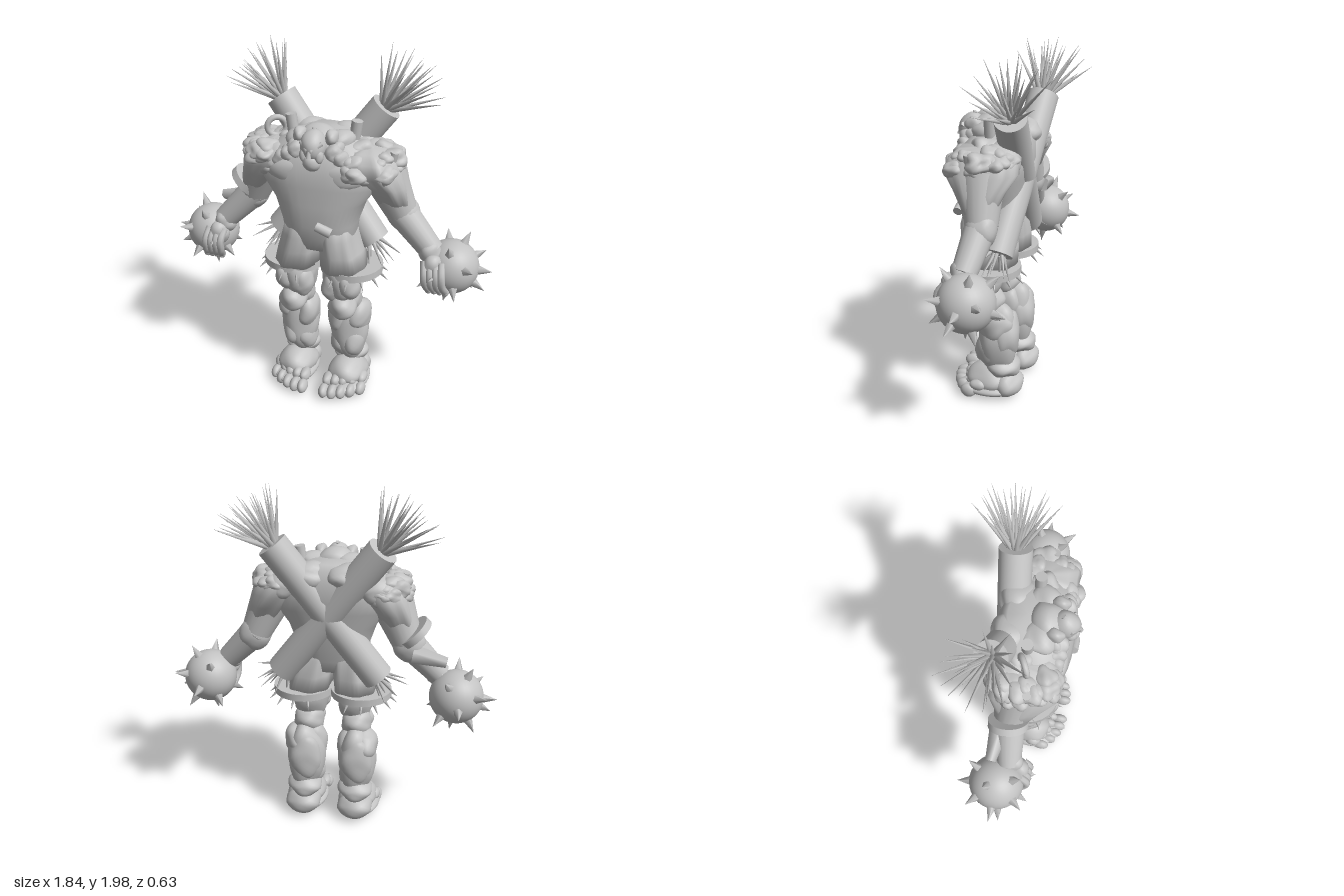
import * as THREE from 'three';
import { mergeVertices } from 'three/addons/utils/BufferGeometryUtils.js';

const stone = new THREE.MeshStandardMaterial({ color: 0xc2c2c2 });
stone.name = 'stoneGrey';
const V = (x, y, z) => new THREE.Vector3(x, y, z);
const UP = V(0, 1, 0);

function seeded(seed) {
  let s = seed;
  return () => (s = (s * 16807) % 2147483647) / 2147483647;
}

function add(parent, name, geo, pos) {
  const m = new THREE.Mesh(geo, stone);
  m.name = name;
  if (pos) m.position.copy(pos);
  parent.add(m);
  return m;
}

// lumpy boulder with smooth normals, coarser when small
function rock(parent, name, pos, r, seed = 1, amp = 0.08) {
  let g = new THREE.IcosahedronGeometry(1, Math.max(r.x, r.y, r.z) < 0.06 ? 3 : 5);
  g.deleteAttribute('uv');
  g.deleteAttribute('normal');
  g = mergeVertices(g, 1e-4);
  const p = g.attributes.position, v = V(0, 0, 0);
  for (let i = 0; i < p.count; i++) {
    v.fromBufferAttribute(p, i);
    const n = Math.sin(3.1 * v.x + seed * 1.7) * Math.cos(3.7 * v.y + seed * 2.3)
      + 0.8 * Math.sin(4.3 * v.z + 2 * v.x + seed) - 0.7 * Math.abs(Math.sin(3.5 * v.y + 2.5 * v.z + seed * 3));
    v.multiplyScalar(1 + amp * n);
    p.setXYZ(i, v.x * r.x, v.y * r.y, v.z * r.z);
  }
  g.computeVertexNormals();
  return add(parent, name, g, pos);
}

// cylinder or cone between two points
function rod(parent, name, a, b, ra, rb, sides = 20) {
  const d = b.clone().sub(a);
  const m = add(parent, name, new THREE.CylinderGeometry(rb, ra, d.length(), sides), a.clone().add(b).multiplyScalar(0.5));
  m.quaternion.setFromUnitVectors(UP, d.normalize());
  return m;
}

function spike(parent, name, a, dir, len, r) {
  return rod(parent, name, a, a.clone().addScaledVector(dir, len), r, 0.0005, 5);
}

// stacked rounded sections: [y, centre x, centre z, half width, half depth]
function loft(parent, name, sections, n = 40, fold = 0) {
  const pos = [], idx = [];
  const pw = (t) => Math.sign(t) * Math.pow(Math.abs(t), 0.8);
  sections.forEach(([y, cx, cz, rx, rz]) => {
    for (let j = 0; j < n; j++) {
      const t = (j / n) * Math.PI * 2, f = 1 + fold * Math.sin(t * 7 + y * 9);
      pos.push(cx + rx * f * pw(Math.cos(t)), y, cz + rz * f * pw(Math.sin(t)));
    }
  });
  for (let i = 0; i + 1 < sections.length; i++) {
    for (let j = 0; j < n; j++) {
      const a = i * n + j, b = i * n + (j + 1) % n;
      idx.push(a, a + n, b, b, a + n, b + n);
    }
  }
  const g = new THREE.BufferGeometry();
  g.setAttribute('position', new THREE.Float32BufferAttribute(pos, 3));
  g.setIndex(idx);
  g.computeVertexNormals();
  return add(parent, name, g);
}

function group(parent, name) {
  const g = new THREE.Group();
  g.name = name;
  parent.add(g);
  return g;
}

function buildLeg(root, s) {
  const leg = group(root, s > 0 ? 'leftLeg' : 'rightLeg');
  const R = (name, x, y, z, rx, ry, rz, seed, amp = 0.06) => rock(leg, name, V(s * x, y, z), V(rx, ry, rz), seed, amp);
  R('thigh', 0.13, 0.74, 0.12, 0.108, 0.17, 0.125, 2);
  R('thighPlate', 0.18, 0.73, 0.16, 0.068, 0.1, 0.09, 5);
  R('innerThighPlate', 0.085, 0.7, 0.17, 0.06, 0.09, 0.07, 6);
  R('knee', 0.145, 0.57, 0.165, 0.078, 0.08, 0.085, 3);
  R('kneeBack', 0.14, 0.58, 0.08, 0.09, 0.09, 0.09, 8);
  R('shin', 0.15, 0.36, 0.03, 0.112, 0.22, 0.118, 4);
  R('upperShinPlate', 0.2, 0.46, 0.04, 0.075, 0.1, 0.105, 7);
  R('innerShinPlate', 0.1, 0.44, 0.06, 0.07, 0.12, 0.09, 9);
  R('lowerShinPlate', 0.18, 0.3, 0.05, 0.075, 0.12, 0.1, 10);
  R('innerLowerPlate', 0.11, 0.27, 0.05, 0.07, 0.1, 0.085, 16);
  R('calf', 0.15, 0.38, -0.02, 0.1, 0.15, 0.075, 11);
  R('ankle', 0.15, 0.18, 0.0, 0.1, 0.07, 0.1, 12);
  R('heel', 0.155, 0.075, -0.025, 0.105, 0.08, 0.092, 13, 0.05);
  R('instep', 0.155, 0.095, 0.08, 0.11, 0.09, 0.14, 14, 0.05);
  R('sole', 0.158, 0.045, 0.09, 0.125, 0.046, 0.18, 15, 0.02);
  for (let i = 0; i < 5; i++) {
    R('toe', 0.065 + i * 0.048, 0.04, 0.265 - 0.0056 * i * i, 0.03, 0.04, 0.05, i + 3, 0.03);
    R('toeKnuckle', 0.07 + i * 0.045, 0.08, 0.2 - 0.005 * i * i, 0.032, 0.035, 0.05, i + 5, 0.04);
  }
}

function buildArm(root, s) {
  const arm = group(root, s > 0 ? 'leftArm' : 'rightArm');
  const P = (x, y, z) => V(s * x, y, z);
  const R = (name, x, y, z, rx, ry, rz, seed, amp = 0.06) => rock(arm, name, P(x, y, z), V(rx, ry, rz), seed, amp);
  rod(arm, 'upperArm', P(0.32, 1.36, 0.05), P(0.42, 1.13, 0.02), 0.12, 0.085);
  R('elbow', 0.43, 1.12, 0.015, 0.09, 0.1, 0.085, 3, 0.04);
  rod(arm, 'forearm', P(0.41, 1.14, 0.02), P(0.6, 0.94, 0.05), 0.085, 0.065);
  R('wrist', 0.59, 0.94, 0.06, 0.065, 0.07, 0.065, 5);
  R('palm', 0.615, 0.88, 0.105, 0.06, 0.07, 0.06, 6);
  // fingers curl round the front of the ball
  for (let i = 0; i < 4; i++) {
    const x = 0.575 + i * 0.03;
    const c = new THREE.CatmullRomCurve3([P(x, 0.91, 0.12), P(x + 0.01, 0.85, 0.16), P(x + 0.015, 0.79, 0.15), P(x + 0.03, 0.74, 0.11)]);
    add(arm, 'finger', new THREE.TubeGeometry(c, 12, 0.021, 8));
    R('fingertip', x + 0.03, 0.74, 0.11, 0.022, 0.026, 0.022, i + 1, 0.02);
  }
  // spiked ball
  const ball = group(arm, 'spikedBall');
  ball.position.copy(P(0.7, 0.84, 0));
  add(ball, 'ball', new THREE.SphereGeometry(0.148, 32, 24));
  for (let i = 0; i < 15; i++) {
    const x = 1 - i / 8, t = i * 2.4 + 0.3, r = Math.sqrt(1 - x * x);
    const d = V(s * x, r * Math.cos(t), r * Math.sin(t));
    spike(ball, 'ballSpike', d.clone().multiplyScalar(0.138), d, 0.08, 0.028);
  }
  // draped mantle tapering down the arm
  loft(arm, 'mantle', [
    [1.18, s * 0.4, 0.03, 0.001, 0.001], [1.2, s * 0.385, 0.04, 0.085, 0.085], [1.3, s * 0.345, 0.05, 0.105, 0.135],
    [1.38, s * 0.3, 0.06, 0.125, 0.19], [1.45, s * 0.27, 0.06, 0.12, 0.175], [1.49, s * 0.25, 0.06, 0.08, 0.13], [1.5, s * 0.25, 0.06, 0.001, 0.001]], 42, 0.04);
  // shoulder boulders and pegs
  const rnd = seeded(s > 0 ? 77 : 191);
  for (let i = 0; i < 30; i++) {
    const t = rnd() * Math.PI * 2, e = 0.05 + rnd() * 1.1, k = 0.035 + rnd() * 0.03;
    R('shoulderRock', 0.265 + 0.13 * Math.cos(e) * Math.cos(t), 1.385 + 0.1 * Math.sin(e),
      0.07 + 0.155 * Math.cos(e) * Math.sin(t), k * 1.2, k * 0.9, k * 1.2, i + 2, 0.12);
  }
  rod(arm, 'shoulderPeg', P(0.16, 1.48, 0.06), P(0.18, 1.62, 0.06), 0.03, 0.03, 12);
  rod(arm, 'sidePeg', P(0.37, 1.4, 0.1), P(0.39, 1.49, 0.1), 0.022, 0.022, 10);
}

function buildTube(root, s) {
  const g = group(root, 'backTube');
  const top = V(s * 0.29, 1.66, -0.09), bottom = V(-s * 0.27, 0.92, -0.01);
  const axis = top.clone().sub(bottom).normalize();
  rod(g, 'tube', bottom, top, 0.085, 0.085, 28);
  // spines fan out of both ends
  const side = V(0, 0, 1), across = axis.clone().cross(side).normalize();
  for (let i = 0; i < 26; i++) {
    const a = i * 2.4, q = Math.sqrt((i + 0.5) / 26), w = q * 0.72;
    const out = side.clone().multiplyScalar(Math.cos(a)).addScaledVector(across, Math.sin(a));
    const d = axis.clone().multiplyScalar(Math.cos(w)).addScaledVector(out, Math.sin(w));
    spike(g, 'spine', top.clone().addScaledVector(out, q * 0.03), d, 0.31 - 0.02 * (i % 3), 0.015);
    if (i % 3 === 0) {
      const e = axis.clone().multiplyScalar(-Math.cos(w)).addScaledVector(out, Math.sin(w));
      spike(g, 'lowerSpine', bottom.clone().addScaledVector(out, q * 0.05), e, 0.15, 0.012);
    }
  }
}

export function createModel() {
  const root = new THREE.Group();
  root.name = 'stoneGiant';

  loft(root, 'torso', [
    [0.93, 0, 0.1, 0.001, 0.001], [0.93, 0, 0.1, 0.16, 0.13], [1.0, 0, 0.1, 0.195, 0.15], [1.08, 0, 0.1, 0.205, 0.17],
    [1.2, 0, 0.09, 0.245, 0.185], [1.3, 0, 0.08, 0.32, 0.19], [1.38, 0, 0.07, 0.34, 0.2],
    [1.47, 0, 0.06, 0.28, 0.18], [1.53, 0, 0.04, 0.18, 0.14], [1.56, 0, 0.03, 0.1, 0.1], [1.56, 0, 0.03, 0.001, 0.001]]);

  for (const s of [-1, 1]) {
    buildLeg(root, s);
    buildArm(root, s);
    buildTube(root, s);
    // pleated cloth flaring over each thigh
    loft(root, 'shorts', [
      [0.8, s * 0.13, 0.09, 0.001, 0.001], [0.8, s * 0.132, 0.09, 0.122, 0.155], [0.9, s * 0.118, 0.09, 0.112, 0.158],
      [1.0, s * 0.1, 0.1, 0.1, 0.155], [1.1, s * 0.09, 0.1, 0.09, 0.13], [1.1, s * 0.09, 0.1, 0.001, 0.001]], 42, 0.04);
    // flat thorned hoop at each hip
    rod(root, 'hipHoop', V(s * 0.165, 0.77, 0.07), V(s * 0.165, 0.81, 0.07), 0.172, 0.172, 28);
    for (let i = 0; i < 9; i++) {
      const t = -1.9 + i * 0.48, d = V(s * Math.cos(t), -0.9, Math.sin(t)).normalize();
      spike(root, 'hoopThorn', V(s * (0.165 + 0.15 * Math.cos(t)), 0.78, 0.07 + 0.15 * Math.sin(t)), d, 0.075, 0.012);
    }
    // collar stones round the neck, slabs over the upper back and chest
    for (let i = 0; i < 5; i++) {
      rock(root, 'collarStone', V(s * (0.1 + i * 0.04), 1.49 - i * 0.03, 0.2 - i * 0.002), V(0.05, 0.05, 0.055), i + 4, 0.1);
    }
    rock(root, 'neckSlab', V(s * 0.1, 1.52, 0.1), V(0.085, 0.06, 0.1), 7, 0.08);
    rock(root, 'backSlab', V(s * 0.1, 1.49, -0.04), V(0.11, 0.08, 0.11), 9, 0.07);
    rock(root, 'outerBackSlab', V(s * 0.25, 1.43, -0.02), V(0.12, 0.08, 0.11), 12, 0.07);
    rock(root, 'chestPlate', V(s * 0.13, 1.37, 0.18), V(0.15, 0.09, 0.085), 4, 0.04);
  }

  // head inside a stone hood
  const head = group(root, 'head');
  rock(head, 'hood', V(0, 1.5, 0.13), V(0.125, 0.105, 0.1), 3, 0.06);
  rock(head, 'skull', V(0, 1.52, 0.215), V(0.068, 0.085, 0.08), 2, 0.03);
  rock(head, 'jaw', V(0, 1.445, 0.245), V(0.05, 0.05, 0.05), 5, 0.03);
  rod(head, 'crest', V(0, 1.53, 0.24), V(0, 1.61, 0.2), 0.03, 0.012, 6);
  rod(head, 'nose', V(0, 1.53, 0.28), V(0, 1.48, 0.295), 0.007, 0.014, 6);
  for (const s of [-1, 1]) {
    rod(head, 'brow', V(s * 0.008, 1.515, 0.285), V(s * 0.055, 1.55, 0.25), 0.014, 0.012, 6);
    rock(head, 'cheek', V(s * 0.04, 1.48, 0.25), V(0.024, 0.04, 0.03), 4, 0.04);
    for (let i = 0; i < 3; i++) {
      rock(head, 'hoodStone', V(s * (0.115 - 0.03 * Math.abs(i - 1)), 1.44 + i * 0.06, 0.18), V(0.035, 0.045, 0.05), i + 6, 0.08);
    }
  }

  // belly clasp
  rod(root, 'bellyClasp', V(0.03, 1.1, 0.275), V(0.11, 1.07, 0.275), 0.026, 0.026, 12);

  // fin, bracelet and loop on the right side
  rod(root, 'forearmFin', V(-0.46, 1.08, -0.03), V(-0.64, 1.05, -0.04), 0.055, 0.03, 5);
  const along = V(-0.19, -0.2, 0.03).normalize(), c = V(-0.455, 1.185, 0.02);
  rod(root, 'bracelet', c.clone().addScaledVector(along, -0.02), c.clone().addScaledVector(along, 0.02), 0.105, 0.105, 28);
  const loop = add(root, 'shoulderLoop', new THREE.TorusGeometry(0.05, 0.016, 10, 24), V(-0.26, 1.54, 0.06));
  loop.rotation.y = 0.5;
  return root;
}
